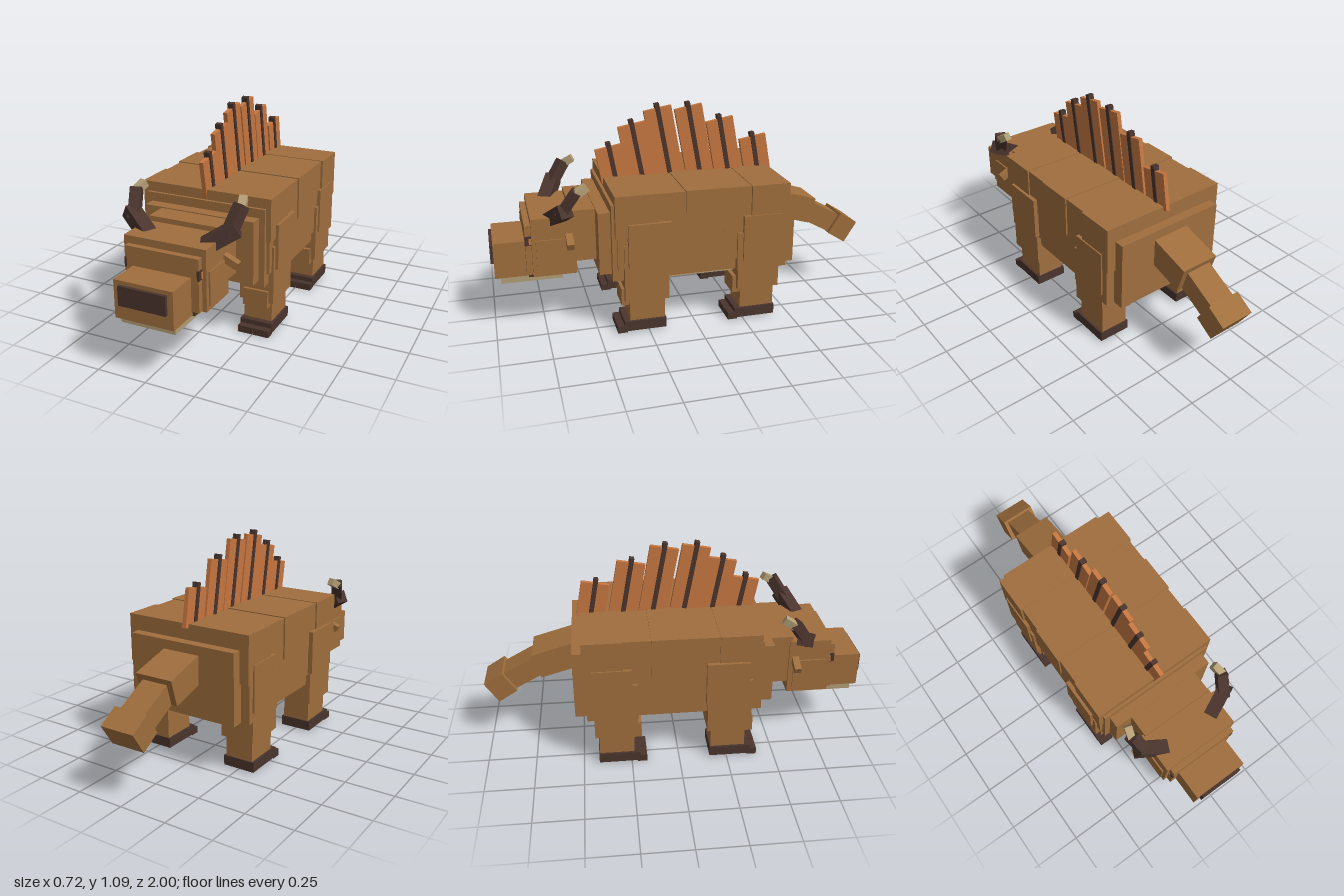
import * as THREE from 'three';

const mat = (name, color) => {
  const m = new THREE.MeshStandardMaterial({ color });
  m.name = name;
  return m;
};

export function createModel() {
  const root = new THREE.Group();
  root.name = 'sailbackBeast';
  const hide = mat('brown hide', 0x9f6e3d);
  const dark = mat('dark horn', 0x4a342d);
  const sail = mat('orange sail', 0xc67640);
  const cream = mat('cream', 0xb29c74);

  // Box from its min and max on each axis
  const box = (name, m, x0, x1, y0, y1, z0, z1) => {
    const mesh = new THREE.Mesh(new THREE.BoxGeometry(x1 - x0, y1 - y0, z1 - z0), m);
    mesh.position.set((x0 + x1) / 2, (y0 + y1) / 2, (z0 + z1) / 2);
    mesh.name = name;
    root.add(mesh);
    return mesh;
  };
  // Box symmetric about x = 0
  const mid = (name, m, w, y0, y1, z0, z1) => box(name, m, -w, w, y0, y1, z0, z1);
  // The same box on both sides
  const pair = (name, m, x0, x1, ...r) => {
    box(name + 'Left', m, x0, x1, ...r);
    box(name + 'Right', m, -x1, -x0, ...r);
  };
  // Square bar between two points
  const bar = (name, m, a, b, t) => {
    const A = new THREE.Vector3(...a), B = new THREE.Vector3(...b);
    const mesh = new THREE.Mesh(new THREE.BoxGeometry(t, t, A.distanceTo(B)), m);
    mesh.position.copy(A).add(B).multiplyScalar(0.5);
    mesh.lookAt(B);
    mesh.name = name;
    root.add(mesh);
  };

  // Body core, chest, rump and belly
  mid('bodyCore', hide, 0.335, 0.34, 0.718, -0.47, 0.4);
  mid('lowerBody', hide, 0.32, 0.28, 0.675, -0.47, 0.425);
  mid('chest', hide, 0.29, 0.31, 0.63, 0.4, 0.485);
  mid('rump', hide, 0.3, 0.28, 0.645, -0.53, -0.45);
  mid('belly', cream, 0.27, 0.25, 0.285, -0.28, 0.34);

  // Back plates
  mid('shoulderPlate', hide, 0.345, 0.51, 0.725, 0.2, 0.41);
  mid('frontBackPlate', hide, 0.338, 0.5, 0.722, 0.06, 0.2);
  mid('middleBackPlate', hide, 0.346, 0.51, 0.727, -0.14, 0.06);
  mid('rearBackPlate', hide, 0.338, 0.5, 0.722, -0.28, -0.14);
  mid('hipPlate', hide, 0.349, 0.48, 0.725, -0.48, -0.28);

  // Legs
  pair('shoulder', hide, 0.3, 0.36, 0.35, 0.58, 0.135, 0.35);
  pair('hip', hide, 0.3, 0.356, 0.33, 0.57, -0.44, -0.24);
  pair('frontThigh', hide, 0.165, 0.345, 0.17, 0.47, 0.145, 0.37);
  pair('hindThigh', hide, 0.165, 0.347, 0.28, 0.48, -0.47, -0.21);
  pair('hindKnee', hide, 0.165, 0.345, 0.17, 0.3, -0.435, -0.215);
  for (const [end, z] of [['front', 0], ['hind', -0.58]]) {
    pair(end + 'Kneecap', hide, 0.19, 0.32, 0.145, 0.235, z + 0.3, z + 0.385);
    pair(end + 'Shin', hide, 0.18, 0.328, 0.05, 0.2, z + 0.165, z + 0.345);
    pair(end + 'Foot', dark, 0.17, 0.34, 0.008, 0.06, z + 0.16, z + 0.375);
    pair(end + 'InnerToe', dark, 0.174, 0.251, 0, 0.036, z + 0.36, z + 0.41);
    pair(end + 'OuterToe', dark, 0.257, 0.338, 0, 0.036, z + 0.36, z + 0.41);
  }

  // Neck and head
  mid('neck', hide, 0.2, 0.36, 0.625, 0.47, 0.6);
  mid('skull', hide, 0.21, 0.3, 0.6, 0.585, 0.8);
  mid('face', hide, 0.188, 0.305, 0.563, 0.78, 0.83);
  pair('cheek', hide, 0.19, 0.218, 0.325, 0.49, 0.61, 0.78);
  mid('snout', hide, 0.149, 0.285, 0.47, 0.7, 0.985);
  mid('nose', dark, 0.12, 0.355, 0.45, 0.98, 1.0);
  mid('mouth', dark, 0.16, 0.28, 0.302, 0.65, 0.82);
  mid('jaw', cream, 0.138, 0.25, 0.288, 0.65, 0.955);
  pair('eyeSocket', dark, 0.18, 0.191, 0.46, 0.508, 0.78, 0.832);
  pair('eye', sail, 0.188, 0.194, 0.465, 0.497, 0.785, 0.812);

  // Ears and horns
  for (const [side, s] of [['left', 1], ['right', -1]]) {
    const ear = box(side + 'Ear', hide, -0.05, 0.05, -0.018, 0.018, 0.6, 0.635);
    ear.position.x = s * 0.23;
    ear.position.y = 0.485;
    ear.rotation.z = -s * 0.43;
    bar(side + 'HornBase', dark, [s * 0.14, 0.565, 0.7], [s * 0.28, 0.655, 0.635], 0.07);
    bar(side + 'HornMiddle', dark, [s * 0.245, 0.62, 0.66], [s * 0.275, 0.745, 0.58], 0.055);
    bar(side + 'HornTip', cream, [s * 0.277, 0.73, 0.585], [s * 0.262, 0.762, 0.53], 0.038);
  }

  // Tail, each segment drooping further: half width, height, length, y, z, tilt
  [[0.102, 0.14, 0.24, 0.503, -0.605, 0.28],
    [0.07, 0.11, 0.22, 0.415, -0.79, 0.5],
    [0.092, 0.13, 0.115, 0.347, -0.918, 0.56]].forEach(([w, h, l, y, z, tilt], i) => {
    const seg = mid('tailSegment' + (i + 1), hide, w, -h / 2, h / 2, -l / 2, l / 2);
    seg.position.set(0, y, z);
    seg.rotation.x = -tilt;
  });

  // Sail panels with a dark spine through each, leaning forward
  const tilt = 0.18;
  [[0.345, 0.905], [0.205, 1.015], [0.057, 1.09], [-0.105, 1.09], [-0.26, 1.015], [-0.425, 0.91]]
    .forEach(([z, top], i) => {
      const fin = new THREE.Group();
      fin.name = 'sailFin' + (i + 1);
      const len = (top - 0.72) / Math.cos(tilt);
      fin.add(mid('sailPanel', sail, 0.011, -0.025, len - 0.025, -0.073, 0.073));
      fin.add(mid('sailSpine', dark, 0.016, -0.02, len, -0.012, 0.012));
      fin.position.set(0, 0.72, z);
      fin.rotation.x = tilt;
      root.add(fin);
    });

  return root;
}
